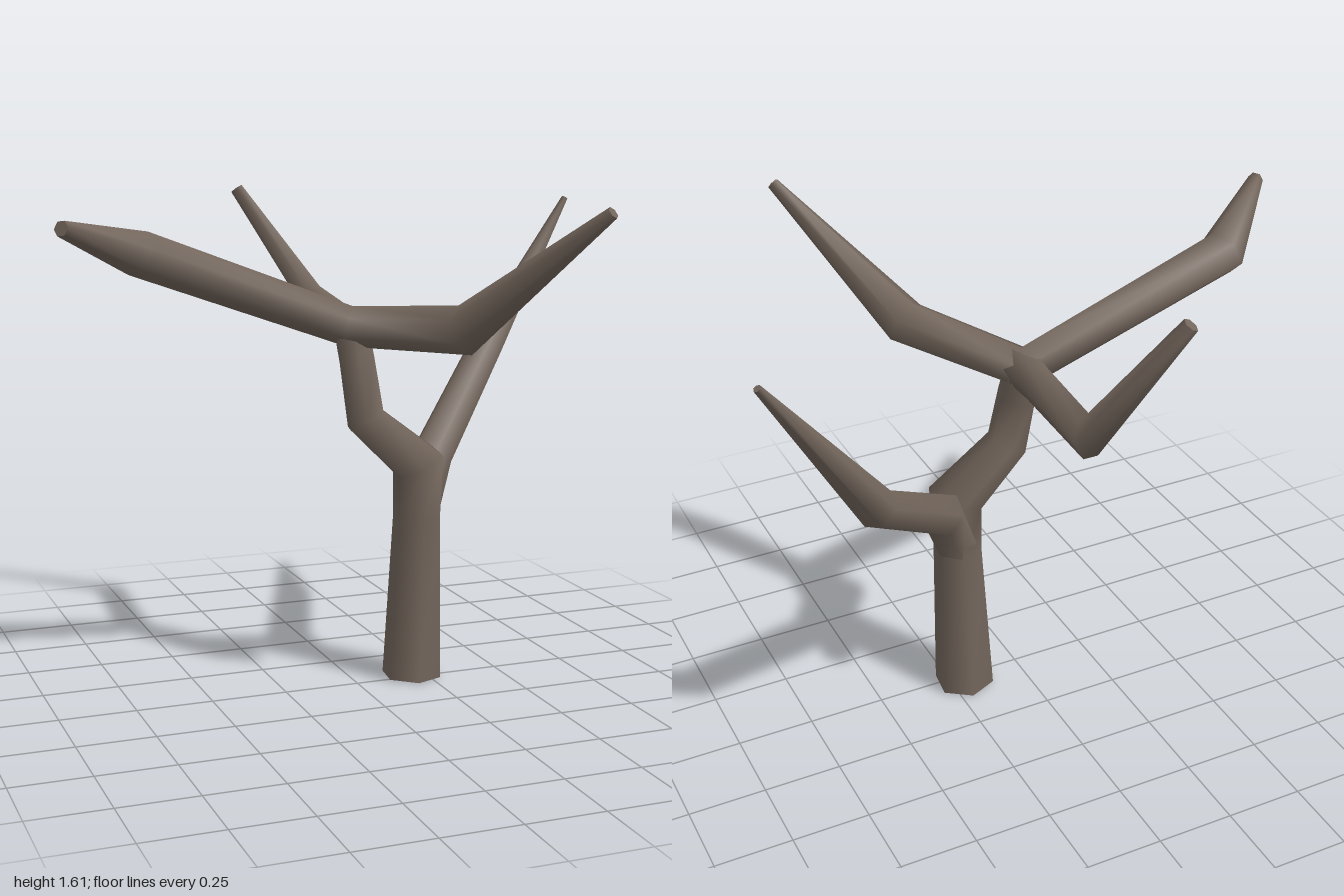
import * as THREE from 'three';

const SIDES = 6;
const V = (x, y, z) => new THREE.Vector3(x, y, z);

// Tapered limb through points [x, y, z, radius], with mitred elbows and closed ends.
function limbGeometry(points) {
  const centres = points.map(([x, y, z]) => V(x, y, z));
  const dirs = centres.slice(1).map((c, i) => c.clone().sub(centres[i]).normalize());
  const last = points.length - 1;
  const pos = [], index = [];

  // unit spokes around the first direction
  const t0 = dirs[0];
  const ref = Math.abs(t0.y) > 0.8 ? V(1, 0, 0) : V(0, 1, 0);
  const u = ref.clone().addScaledVector(t0, -ref.dot(t0)).normalize();
  const v = t0.clone().cross(u);
  const spokes = Array.from({ length: SIDES }, (_, j) => {
    const a = (j / SIDES) * Math.PI * 2 + 0.4;
    return u.clone().multiplyScalar(Math.cos(a)).addScaledVector(v, Math.sin(a));
  });

  const rings = centres.map((c, i) => {
    const tin = dirs[Math.max(i - 1, 0)], tout = dirs[Math.min(i, last - 1)];
    const n = tin.clone().add(tout).normalize();
    return spokes.map((s) => {
      // slide the spoke onto the mitre plane, then carry it into the next segment
      s.addScaledVector(tin, -s.dot(n) / tin.dot(n));
      const p = c.clone().addScaledVector(s, points[i][3]);
      s.addScaledVector(tout, -s.dot(tout));
      return p;
    });
  });

  // bark surface
  rings.forEach((ring) => ring.forEach((p) => pos.push(p.x, p.y, p.z)));
  for (let i = 0; i < last; i++) {
    for (let j = 0; j < SIDES; j++) {
      const k = (j + 1) % SIDES, a = i * SIDES, b = a + SIDES;
      index.push(a + j, a + k, b + k, a + j, b + k, b + j);
    }
  }
  // end caps with their own corners, so their rims stay sharp
  [0, last].forEach((r) => {
    const base = pos.length / 3;
    rings[r].forEach((p) => pos.push(p.x, p.y, p.z));
    for (let j = 1; j < SIDES - 1; j++) {
      if (r === 0) index.push(base, base + j + 1, base + j);
      else index.push(base, base + j, base + j + 1);
    }
  });

  const g = new THREE.BufferGeometry();
  g.setAttribute('position', new THREE.Float32BufferAttribute(pos, 3));
  g.setIndex(index);
  g.computeVertexNormals();
  return g;
}

export function createModel() {
  const bark = new THREE.MeshStandardMaterial({ color: 0x73665c });
  bark.name = 'bark';
  const tree = new THREE.Group();
  tree.name = 'bareTree';

  const limbs = {
    // main stem, bending over to the upper hub
    trunk: [
      [0.202, 0.003, -0.021, 0.1], [0.215, 0.55, -0.015, 0.08], [0.215, 0.73, -0.005, 0.085],
      [0.03, 0.89, -0.005, 0.066], [0.015, 1.08, -0.045, 0.062], [0, 1.2, -0.07, 0.06],
    ],
    // lower fork limb, rising to the left and back
    lowerBranch: [
      [0.215, 0.55, -0.015, 0.072], [0.29, 0.73, -0.075, 0.073],
      [0.635, 1.04, -0.4, 0.063], [0.985, 1.56, -0.485, 0.012],
    ],
    // long right limb running through the hub into the front limb
    rightAndFrontBranch: [
      [-0.98, 1.54, 0.18, 0.025], [-0.69, 1.44, -0.085, 0.074], [0, 1.185, -0.07, 0.066],
      [0.225, 1.21, 0.335, 0.076], [0.5, 1.585, 0.745, 0.02],
    ],
    // back limb with an upturned end
    backBranch: [
      [0.005, 1.185, -0.04, 0.066], [0.012, 1.187, -0.18, 0.057],
      [0.057, 1.22, -0.59, 0.052], [-0.17, 1.6, -0.74, 0.025],
    ],
  };

  for (const [name, points] of Object.entries(limbs)) {
    const mesh = new THREE.Mesh(limbGeometry(points), bark);
    mesh.name = name;
    tree.add(mesh);
  }
  return tree;
}
